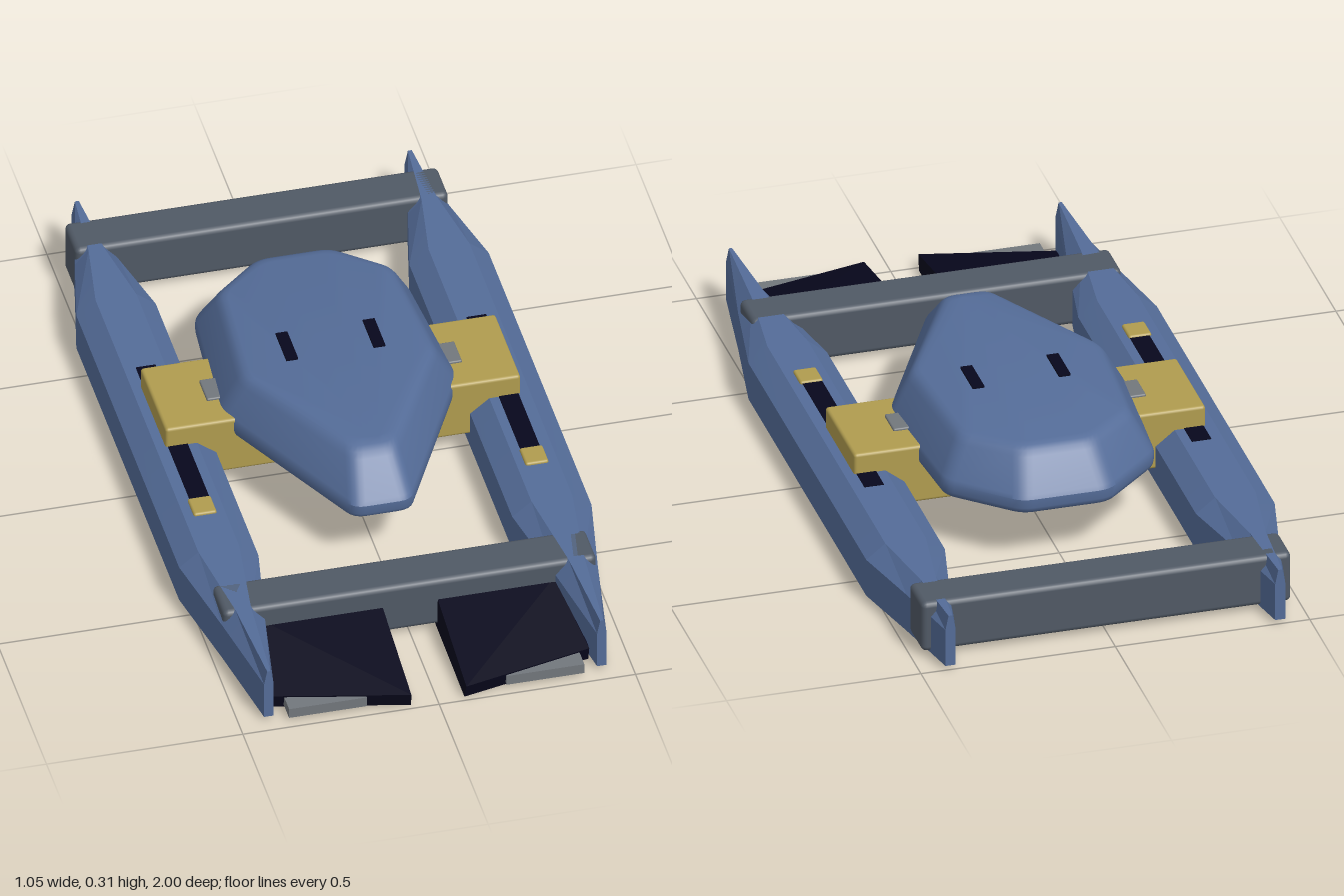
import * as THREE from 'three';
import { toCreasedNormals } from 'three/addons/utils/BufferGeometryUtils.js';
import { RoundedBoxGeometry } from 'three/addons/geometries/RoundedBoxGeometry.js';
import { ConvexGeometry } from 'three/addons/geometries/ConvexGeometry.js';

const material = (name, color) => {
  const m = new THREE.MeshStandardMaterial({ color });
  m.name = name;
  return m;
};

// Skin a list of convex rings (counter-clockwise about the direction of travel) and cap both ends
function loft(rings, crease) {
  const n = rings[0].length, index = [];
  for (let i = 0; i < rings.length - 1; i++) {
    for (let j = 0; j < n; j++) {
      const a = i * n + j, b = i * n + (j + 1) % n;
      index.push(a, b, b + n, a, b + n, a + n);
    }
  }
  const last = (rings.length - 1) * n;
  for (let j = 1; j < n - 1; j++) index.push(0, j + 1, j, last, last + j, last + j + 1);
  const g = new THREE.BufferGeometry();
  g.setAttribute('position', new THREE.Float32BufferAttribute(rings.flat(2), 3));
  g.setIndex(index);
  return toCreasedNormals(g, crease);
}

// Mirror half an outline in x, then round its corners
function roundedOutline(half, radius, steps = 4) {
  const pts = [...half, ...half.map(([x, z]) => [-x, z]).reverse()].map(p => new THREE.Vector2(...p));
  const out = [];
  pts.forEach((p, i) => {
    const towards = q => {
      const d = q.clone().sub(p);
      return p.clone().addScaledVector(d, Math.min(0.4, radius / d.length()));
    };
    const a = towards(pts[(i + pts.length - 1) % pts.length]);
    const b = towards(pts[(i + 1) % pts.length]);
    const curve = new THREE.QuadraticBezierCurve(a, p, b);
    out.push(...curve.getPoints(steps));
  });
  return out;
}

export function createModel() {
  const blue = material('hull blue', 0x546c98);
  const slate = material('crossbar slate', 0x505965);
  const grey = material('fitting grey', 0x72777c);
  const gold = material('mount gold', 0xb09c4f);
  const dark = material('near black', 0x07071c);

  const model = new THREE.Group();
  model.name = 'twinRailCraft';
  const add = (name, geometry, mat) => {
    const mesh = new THREE.Mesh(geometry, mat);
    mesh.name = name;
    model.add(mesh);
    return mesh;
  };
  // Box given by its min and max corners, with optional rounded edges
  const box = (name, mat, [x0, x1], [y0, y1], [z0, z1], r = 0) => {
    const s = [x1 - x0, y1 - y0, z1 - z0];
    const g = r ? new RoundedBoxGeometry(...s, 2, r) : new THREE.BoxGeometry(...s);
    add(name, g, mat).position.set((x0 + x1) / 2, (y0 + y1) / 2, (z0 + z1) / 2);
  };

  // Central pod: wide base outline blending into a smaller roof outline
  const base = roundedOutline([[0.072, 0.425], [0.303, -0.03], [0.272, -0.415], [0.112, -0.562]], 0.028);
  const roof = roundedOutline([[0.05, 0.305], [0.232, -0.02], [0.208, -0.365], [0.085, -0.465]], 0.028);
  const levels = [[0.152, 0.22], [0.156, 0.1], [0.163, 0.03], [0.172, 0], [0.195, 0], [0.205, 0.06],
    [0.28, 0.66], [0.292, 0.78], [0.3, 0.92], [0.304, 1.1]];
  const podRings = levels.map(([y, k]) => base.map((p, i) => {
    const q = p.clone().lerp(roof[i], k);
    return [q.x, y, q.y];
  }));
  add('pod', loft(podRings, 0.5), blue);

  // Crossbars joining the rails
  box('rearCrossbar', slate, [-0.475, 0.475], [0.015, 0.152], [-0.925, -0.806], 0.014);
  box('frontCrossbar', slate, [-0.475, 0.475], [0.015, 0.152], [0.585, 0.705], 0.014);

  // Rail stations: z, half width of the walls, half width of the deck
  const stations = [[-1, 0.013, 0.005], [-0.8, 0.055, 0.02], [-0.6, 0.101, 0.052],
    [0.45, 0.101, 0.052], [0.7, 0.055, 0.02], [0.96, 0.012, 0.004]];

  for (const side of [1, -1]) {
    const label = side > 0 ? 'left' : 'right';
    const span = (a, b) => side > 0 ? [a, b] : [-b, -a];
    const cx = side * 0.424;

    // Tapered side rail with a chamfered deck
    const rings = stations.map(([z, w, t]) => [[w, 0.012], [w, 0.113], [t, 0.152],
      [-t, 0.152], [-w, 0.113], [-w, 0.012]].map(([x, y]) => [cx + x, y, z]));
    add(label + 'Rail', loft(rings, 0.1), blue);

    // Sliding track and stop, and the deep mount reaching from rail to pod
    box(label + 'Track', dark, span(0.396, 0.446), [0.147, 0.154], [-0.31, 0.25]);
    box(label + 'TrackStop', gold, span(0.393, 0.452), [0.135, 0.159], [0.24, 0.308], 0.006);
    box(label + 'Mount', gold, span(0.14, 0.452), [0.05, 0.207], [-0.24, 0.02], 0.008);
    box(label + 'MountLatch', grey, span(0.26, 0.325), [0.19, 0.213], [-0.15, -0.068], 0.004);

    // Vent slot on the pod roof
    box(label + 'RoofSlot', dark, span(0.096, 0.126), [0.3, 0.309], [-0.166, -0.055]);

    // Wedge-shaped front foil with a slanted leading edge
    const foil = [[0.07, 0, 0.645], [0.4, 0, 0.645], [0.402, 0, 0.91], [0.068, 0, 0.985],
      [0.07, 0.04, 0.997], [0.402, 0.04, 0.92], [0.07, 0.096, 0.69], [0.37, 0.096, 0.69],
      [0.398, 0.07, 0.69], [0.07, 0.096, 0.65], [0.37, 0.096, 0.65], [0.398, 0.07, 0.65]];
    add(label + 'Foil', new ConvexGeometry(
      foil.map(([x, y, z]) => new THREE.Vector3(side * x, y, z))), dark);
    box(label + 'FoilPlate', grey, span(0.178, 0.376), [0.009, 0.036], [0.85, 0.975]);
  }
  return model;
}
